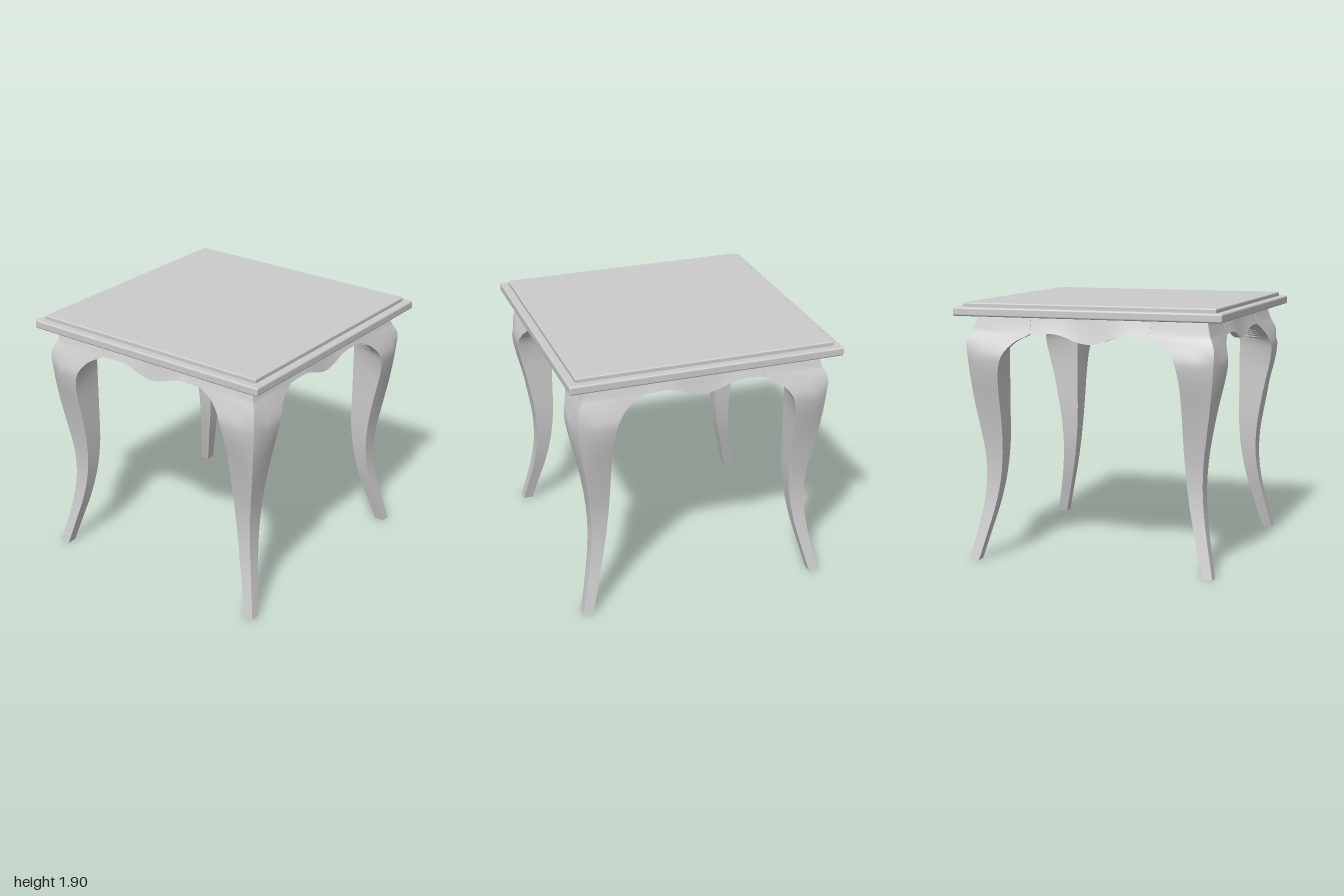
import * as THREE from 'three';
import { toCreasedNormals } from 'three/addons/utils/BufferGeometryUtils.js';
import { RoundedBoxGeometry } from 'three/addons/geometries/RoundedBoxGeometry.js';

const material = new THREE.MeshStandardMaterial({ color: 0xcccccc });

function addMesh(parent, geometry, name) {
  const mesh = new THREE.Mesh(geometry, material);
  mesh.name = name;
  parent.add(mesh);
  return mesh;
}

// Skin a list of closed rings (arrays of [x, y, z]) and cap both ends
function loft(rings) {
  const n = rings[0].length, last = (rings.length - 1) * n, index = [];
  for (let j = 0; j < rings.length - 1; j++) {
    for (let k = 0; k < n; k++) {
      const a = j * n + k, b = j * n + (k + 1) % n;
      index.push(a, a + n, b + n, a, b + n, b);
    }
  }
  for (let k = 1; k < n - 1; k++) {
    index.push(0, k, k + 1, last, last + k + 1, last + k);
  }
  const geometry = new THREE.BufferGeometry();
  geometry.setAttribute('position', new THREE.Float32BufferAttribute(rings.flat(2), 3));
  geometry.setIndex(index);
  return toCreasedNormals(geometry, 0.6);
}

// Curved leg profile: height, inner edge, corner ridge, face bulge, face at inner edge
const legRows = [
  [0.00, 0.855, 0.930, 0.930, 0.930],
  [0.20, 0.803, 0.885, 0.886, 0.885],
  [0.40, 0.752, 0.846, 0.847, 0.846],
  [0.60, 0.715, 0.826, 0.827, 0.826],
  [0.80, 0.695, 0.832, 0.834, 0.832],
  [1.00, 0.688, 0.860, 0.864, 0.860],
  [1.20, 0.687, 0.890, 0.906, 0.900],
  [1.35, 0.682, 0.908, 0.942, 0.935],
  [1.45, 0.667, 0.917, 0.961, 0.952],
  [1.52, 0.645, 0.923, 0.964, 0.952],
  [1.58, 0.603, 0.927, 0.945, 0.932],
  [1.63, 0.545, 0.920, 0.922, 0.910],
  [1.68, 0.450, 0.897, 0.897, 0.890],
  [1.69, 0.450, 0.892, 0.892, 0.887],
  [1.74, 0.446, 0.877, 0.877, 0.868],
  [1.81, 0.440, 0.858, 0.858, 0.850],
];

function legGeometry() {
  const profile = new THREE.CubicInterpolant(
    legRows.map((row) => row[0]), legRows.flatMap((row) => row.slice(1)), 4);
  const rings = [];
  const addRing = (y) => {
    const [inner, ridge, bulge, edge] = profile.evaluate(y);
    const back = edge - Math.min(0.05, (edge - inner) * 0.4);
    const core = Math.max(inner, Math.min(0.69, (inner + back) / 2));
    const bulgeX = ridge - (ridge - inner) * 0.4;
    const half = [[bulgeX, bulge], [inner, edge], [inner, back]];
    const mirrored = half.map(([x, z]) => [z, x]).reverse();
    rings.push([[ridge, ridge], ...half, [core, core], ...mirrored].map(([x, z]) => [x, y, z]));
  };
  for (let j = 0; j < legRows.length - 1; j++) {
    for (let s = 0; s < 3; s++) {
      addRing(THREE.MathUtils.lerp(legRows[j][0], legRows[j + 1][0], s / 3));
    }
  }
  addRing(1.81);
  return loft(rings);
}

// Thin apron with a scalloped lower edge, flaring slightly outward
function apronGeometry() {
  const lower = new THREE.SplineCurve([
    [-0.45, 1.68], [-0.3, 1.687], [-0.2, 1.672], [-0.1, 1.635], [0, 1.618],
    [0.1, 1.635], [0.2, 1.672], [0.3, 1.687], [0.45, 1.68],
  ].map(([x, y]) => new THREE.Vector2(x, y)));
  const rings = lower.getPoints(48).map(({ x, y }) => [
    [x, y, 0.89],
    [x, (y + 1.81) / 2, 0.866],
    [x, 1.81, 0.85],
    [x, 1.81, 0.80],
    [x, y, 0.84],
  ]);
  return loft(rings);
}

export function createModel() {
  const group = new THREE.Group();
  group.name = 'sideTable';

  // Square top with a raised, inset panel
  addMesh(group, new RoundedBoxGeometry(2, 0.064, 2, 3, 0.014), 'tableTop').position.y = 1.837;
  addMesh(group, new RoundedBoxGeometry(1.89, 0.05, 1.89, 3, 0.01), 'topPanel').position.y = 1.875;

  // One leg per corner and one apron per side
  const leg = legGeometry(), apron = apronGeometry();
  for (let i = 0; i < 4; i++) {
    addMesh(group, leg, 'leg' + (i + 1)).rotation.y = i * Math.PI / 2;
    addMesh(group, apron, 'apron' + (i + 1)).rotation.y = i * Math.PI / 2;
  }
  return group;
}
